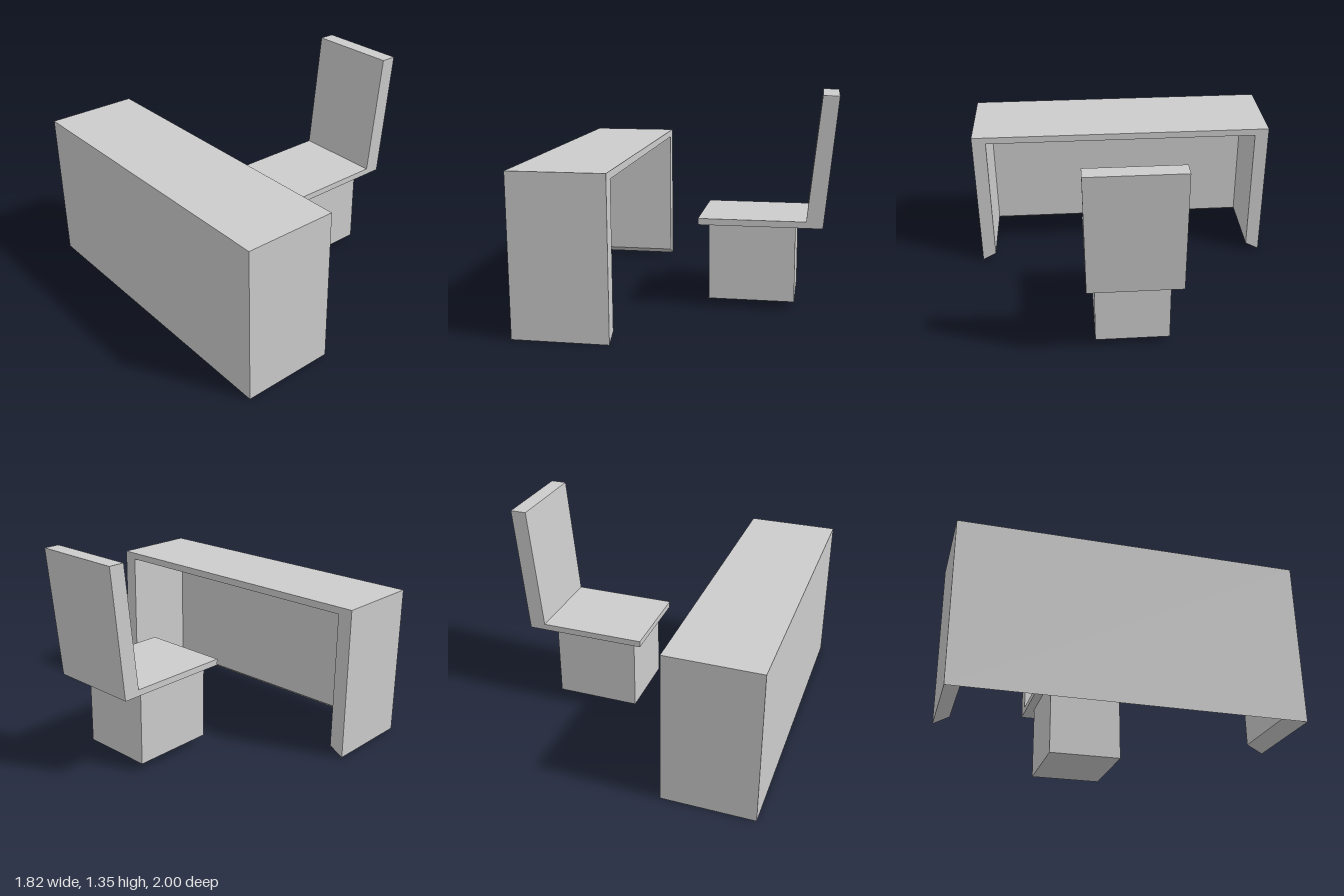
import * as THREE from 'three';

const material = new THREE.MeshStandardMaterial({ color: 0xcccccc, flatShading: true });

function addMesh(parent, name, geometry) {
  const mesh = new THREE.Mesh(geometry, material);
  mesh.name = name;
  parent.add(mesh);
  return mesh;
}

// Flat-shaded geometry from four-cornered faces, corners counter-clockwise from outside
function fromQuads(quads) {
  const positions = quads.flatMap(([a, b, c, d]) => [a, b, c, a, c, d].flat());
  const geometry = new THREE.BufferGeometry();
  geometry.setAttribute('position', new THREE.Float32BufferAttribute(positions, 3));
  geometry.computeVertexNormals();
  return geometry;
}

// Hollow desk: three mitred walls with a chamfered foot, closed by a flat top
function deskGeometry() {
  const front = -0.335, back = -0.91, innerBack = -0.835;
  const half = 1, innerHalf = 0.908;
  const height = 0.975, ceiling = 0.93, footRise = 0.05;

  // Plan path around the walls: [outer x, inner x, side of z]
  const path = [[front, front, 1], [back, innerBack, 1], [back, innerBack, -1], [front, front, -1]];
  const sections = path.map(([xo, xi, s]) => [
    [xo, height, s * half],
    [xo, 0, s * half],
    [xi, footRise, s * innerHalf],
    [xi, ceiling, s * innerHalf],
  ]);

  const quads = [];
  // Outer wall, chamfered foot and inner wall of each side
  for (let i = 0; i < 3; i++) {
    const p = sections[i], q = sections[i + 1];
    for (let k = 0; k < 3; k++) quads.push([q[k + 1], p[k + 1], p[k], q[k]]);
  }
  const first = sections[0], last = sections[3];
  quads.push(sections.map((s) => s[0]).reverse()); // desk top
  quads.push(sections.map((s) => s[3])); // underside of the top
  quads.push(first, [...last].reverse()); // front edges of the side walls
  quads.push([first[0], first[3], last[3], last[0]]); // front edge of the top
  return fromQuads(quads);
}

// Seat and leaning backrest in one L-shaped profile
function seatGeometry() {
  const profile = [[0.057, 0.54], [0.827, 0.54], [0.905, 1.35], [0.805, 1.35], [0.725, 0.58], [0.057, 0.58]];
  const shape = new THREE.Shape(profile.map(([x, y]) => new THREE.Vector2(x, y)));
  const geometry = new THREE.ExtrudeGeometry(shape, { depth: 0.574, bevelEnabled: false });
  geometry.translate(0, 0, -0.288);

  // The backrest leans very slightly sideways
  const pos = geometry.attributes.position;
  for (let i = 0; i < pos.count; i++) {
    const lean = Math.max(0, pos.getY(i) - 0.58) / 0.77;
    pos.setZ(i, pos.getZ(i) + 0.009 * lean);
  }
  geometry.computeVertexNormals();
  return geometry;
}

export function createModel() {
  const model = new THREE.Group();
  model.name = 'deskAndChair';

  addMesh(model, 'desk', deskGeometry());

  const chair = new THREE.Group();
  chair.name = 'chair';
  model.add(chair);
  addMesh(chair, 'seatAndBackrest', seatGeometry());
  addMesh(chair, 'pedestal', new THREE.BoxGeometry(0.54, 0.492, 0.466)).position.set(0.39, 0.296, 0.002);

  return model;
}
